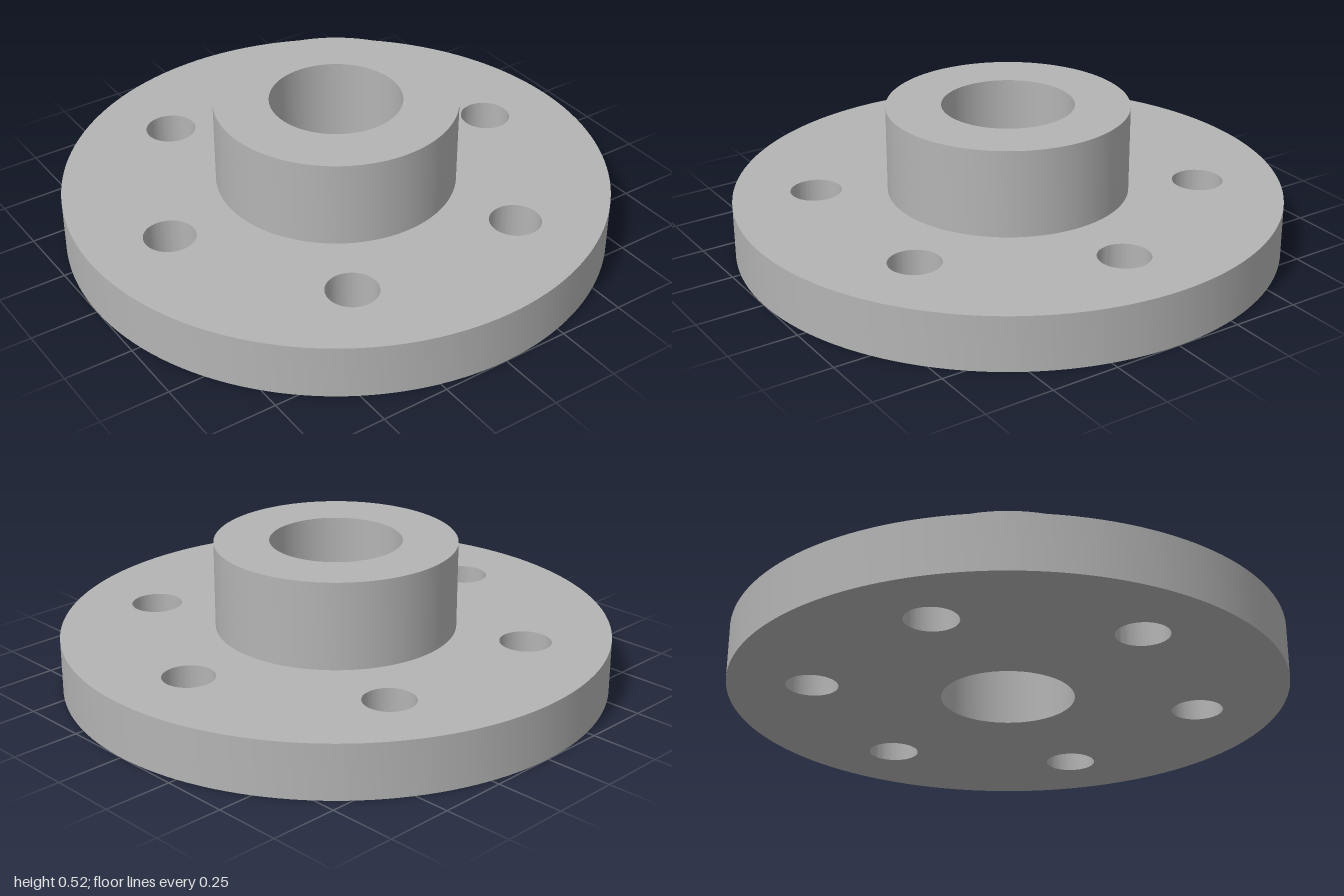
import * as THREE from 'three';
import { toCreasedNormals } from 'three/addons/utils/BufferGeometryUtils.js';

const BORE = 0.24, HUB = 0.44, RIM = 1;
const FLANGE_TOP = 0.2, HUB_TOP = 0.52;
const BOLT_CIRCLE = 0.7, BOLT_HOLE = 0.093, BOLTS = 6;

function circle(PathType, radius, x = 0, y = 0) {
  return new PathType().absarc(x, y, radius, 0, Math.PI * 2, false);
}

// Upright disc with round holes, smooth walls and sharp rims
function piercedDisc(name, radius, holes, bottom, top, material) {
  const shape = circle(THREE.Shape, radius);
  shape.holes.push(...holes);
  const geometry = new THREE.ExtrudeGeometry(shape, {
    depth: top - bottom, bevelEnabled: false, curveSegments: 72,
  });
  geometry.rotateX(-Math.PI / 2);
  geometry.translate(0, bottom, 0);
  const mesh = new THREE.Mesh(toCreasedNormals(geometry, Math.PI / 6), material);
  mesh.name = name;
  return mesh;
}

export function createModel() {
  const group = new THREE.Group();
  group.name = 'pipeFlange';
  const steel = new THREE.MeshStandardMaterial({ color: 0xb4b4b4 });
  steel.name = 'grey steel';

  // Ring of bolt holes around the central bore
  const holes = [circle(THREE.Path, BORE)];
  for (let i = 0; i < BOLTS; i++) {
    const a = (i / BOLTS) * Math.PI * 2;
    holes.push(circle(THREE.Path, BOLT_HOLE, BOLT_CIRCLE * Math.cos(a), BOLT_CIRCLE * Math.sin(a)));
  }
  group.add(piercedDisc('flangePlate', RIM, holes, 0, FLANGE_TOP, steel));

  // Raised hub continuing the bore
  group.add(piercedDisc('hub', HUB, [circle(THREE.Path, BORE)], FLANGE_TOP, HUB_TOP, steel));
  return group;
}
